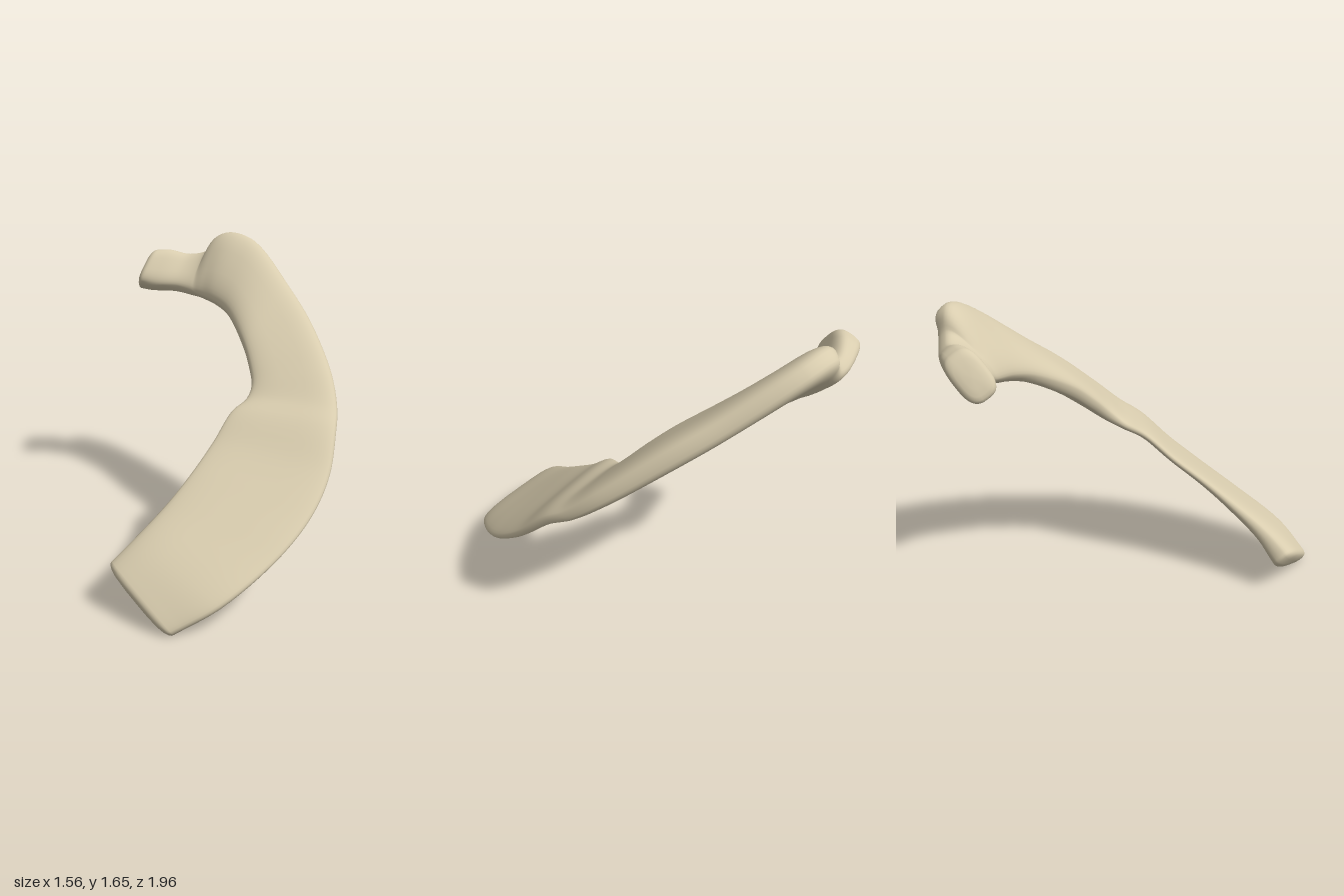
import * as THREE from 'three';

// Sections along the bone: outer edge xyz, inner edge xyz, thickness at each edge
const sections = [
  // head and neck
  [-0.71, 1.54, -0.79, -0.745, 1.34, -0.63, 0.17, 0.17],
  [-0.65, 1.54, -0.83, -0.68, 1.33, -0.65, 0.16, 0.15],
  [-0.53, 1.51, -0.89, -0.54, 1.33, -0.69, 0.13, 0.12],
  [-0.40, 1.54, -0.93, -0.42, 1.31, -0.69, 0.14, 0.12],
  // tubercle
  [-0.335, 1.63, -0.95, -0.34, 1.295, -0.67, 0.17, 0.12],
  [-0.26, 1.65, -0.96, -0.25, 1.28, -0.63, 0.18, 0.13],
  // curved shaft
  [-0.11, 1.61, -0.94, -0.12, 1.24, -0.55, 0.17, 0.13],
  [0.21, 1.365, -0.74, 0.06, 1.12, -0.37, 0.16, 0.13],
  [0.41, 1.20, -0.575, 0.15, 1.02, -0.27, 0.16, 0.12],
  [0.61, 0.985, -0.36, 0.21, 0.925, -0.18, 0.14, 0.10],
  [0.695, 0.85, -0.21, 0.215, 0.87, -0.10, 0.12, 0.07],
  [0.735, 0.765, -0.08, 0.18, 0.825, 0.02, 0.10, 0.06],
  // broad front plate
  [0.77, 0.60, 0.10, 0.15, 0.70, 0.18, 0.08, 0.06],
  [0.755, 0.455, 0.30, 0.11, 0.57, 0.37, 0.07, 0.07],
  [0.68, 0.315, 0.53, 0.06, 0.46, 0.52, 0.07, 0.09],
  [0.51, 0.15, 0.82, -0.02, 0.33, 0.69, 0.08, 0.13],
  [0.33, 0.035, 0.955, -0.09, 0.23, 0.79, 0.09, 0.17],
];

const curve = (k) => new THREE.CatmullRomCurve3(
  sections.map((s) => new THREE.Vector3(s[k], s[k + 1], s[k + 2])));
const outer = curve(0);
const inner = curve(3);
const thickness = new THREE.SplineCurve(sections.map((s) => new THREE.Vector2(s[6], s[7])));
const centre = (u) => outer.getPoint(u).lerp(inner.getPoint(u), 0.5);

const SIDES = 36;
const STEPS = 96;
const soft = (v) => Math.sign(v) * Math.abs(v) ** 0.68;

// One rounded section, shrunk and pushed along the path for the end caps
function ring(u, scale, push) {
  const c = centre(u);
  const tangent = centre(Math.min(u + 0.01, 1)).sub(centre(Math.max(u - 0.01, 0))).normalize();
  const half = outer.getPoint(u).sub(inner.getPoint(u)).multiplyScalar(0.5);
  const normal = tangent.clone().cross(half).normalize();
  const t = thickness.getPoint(u);
  return Array.from({ length: SIDES }, (_, j) => {
    const a = (j / SIDES) * Math.PI * 2;
    const across = soft(Math.cos(a));
    const depth = THREE.MathUtils.lerp(t.y, t.x, (across + 1) / 2) * 0.5 * soft(Math.sin(a));
    return c.clone()
      .addScaledVector(half, across * scale)
      .addScaledVector(normal, depth * scale)
      .addScaledVector(tangent, push);
  });
}

function boneGeometry() {
  const rings = [];
  const capScales = [0, 0.4, 0.7, 0.85, 0.94, 0.985];
  const bulge = (s) => 0.04 * Math.sqrt(1 - s ** 4);

  // Head cap, body, front end cap
  for (const s of capScales) rings.push(ring(0, s, -bulge(s)));
  for (let i = 0; i <= STEPS; i++) rings.push(ring(i / STEPS, 1, 0));
  for (const s of capScales.toReversed()) rings.push(ring(1, s, bulge(s)));

  // Skin the rings
  const index = [];
  for (let i = 0; i < rings.length - 1; i++) {
    for (let j = 0; j < SIDES; j++) {
      const a = i * SIDES + j;
      const b = i * SIDES + (j + 1) % SIDES;
      index.push(a, b, b + SIDES, a, b + SIDES, a + SIDES);
    }
  }
  const geometry = new THREE.BufferGeometry().setFromPoints(rings.flat());
  geometry.setIndex(index);
  geometry.computeVertexNormals();
  return geometry;
}

export function createModel() {
  const bone = new THREE.MeshStandardMaterial({ color: 0xd8ccae });
  bone.name = 'bone';
  const rib = new THREE.Mesh(boneGeometry(), bone);
  rib.name = 'ribBone';
  const group = new THREE.Group();
  group.name = 'rib';
  group.add(rib);
  return group;
}
